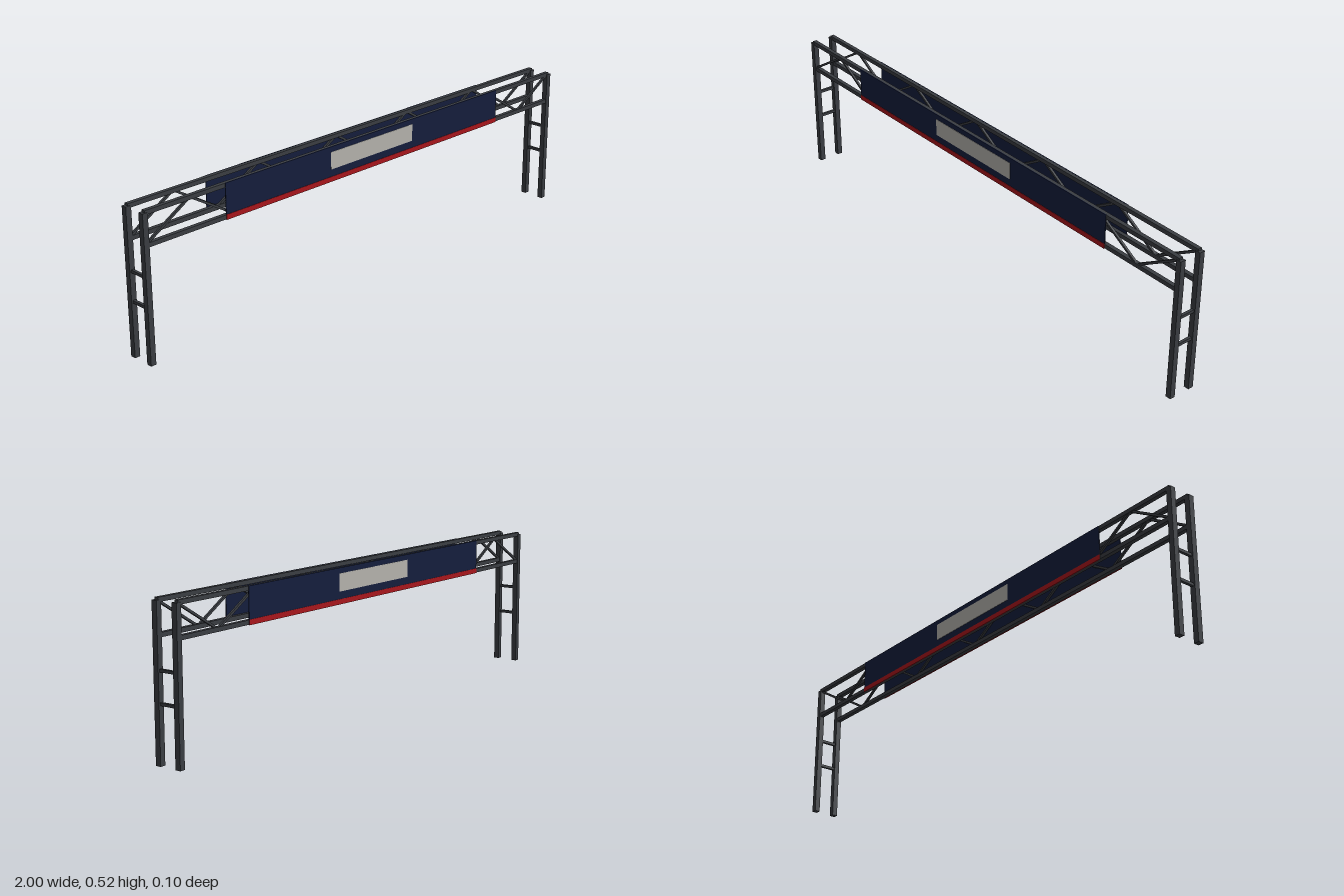
import * as THREE from 'three';

const mat = (color) => new THREE.MeshStandardMaterial({ color });

export function createModel() {
  const model = new THREE.Group();
  const steel = mat(0x3a3d42), navy = mat(0x141d3c), red = mat(0xa8161c), pale = mat(0xb4b2ac);

  const box = (parent, name, size, pos, material) => {
    const mesh = new THREE.Mesh(new THREE.BoxGeometry(...size), material);
    mesh.name = name;
    mesh.position.set(...pos);
    parent.add(mesh);
    return mesh;
  };

  const endX = 0.99, frameZ = 0.0405, topY = 0.514, lowY = 0.406, bays = 11;

  // Two identical truss frames; the rear one is turned to face backwards
  for (const side of [1, -1]) {
    const frame = new THREE.Group();
    frame.name = side > 0 ? 'frontFrame' : 'backFrame';
    model.add(frame);
    const z = side * frameZ;

    for (const x of [-endX, endX]) box(frame, 'post', [0.02, topY, 0.02], [x, topY / 2, z], steel);
    box(frame, 'topChord', [2 * endX, 0.015, 0.015], [0, topY, z], steel);
    box(frame, 'bottomChord', [2 * endX, 0.015, 0.015], [0, lowY, z], steel);

    // Zigzag bracing between the chords
    const step = (2 * endX) / bays, rise = topY - lowY;
    for (let i = 0; i < bays; i++) {
      const brace = box(frame, 'diagonalBrace', [Math.hypot(step, rise), 0.008, 0.008],
        [-endX + (i + 0.5) * step, (topY + lowY) / 2, z], steel);
      brace.rotation.z = Math.atan2(rise, step) * (i % 2 ? -1 : 1);
    }

    // Banner with its lower stripe and centre panel, on the outer face
    box(frame, 'banner', [1.34, 0.123, 0.003], [0, 0.4605, side * 0.0475], navy);
    box(frame, 'bannerStripe', [1.34, 0.018, 0.003], [0, 0.406, side * 0.0488], red);
    box(frame, 'bannerPanel', [0.405, 0.062, 0.002], [0, 0.472, side * 0.0491], pale);
  }

  // Rungs tying the front and back posts together
  for (const x of [-endX, endX])
    for (const y of [0.195, 0.299])
      box(model, 'postRung', [0.01, 0.01, 2 * frameZ], [x, y, 0], steel);

  return model;
}
